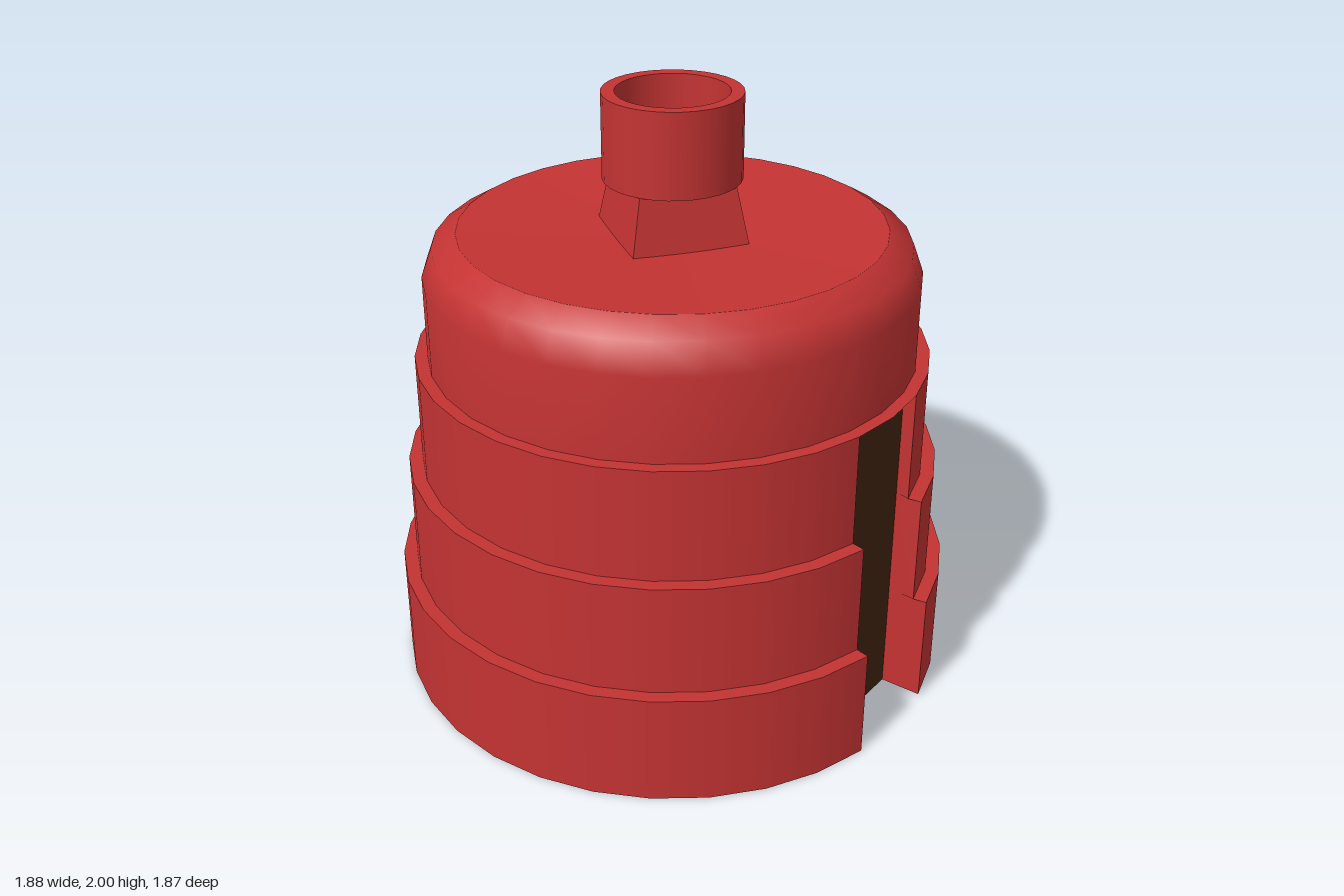
import * as THREE from 'three';

const SIDES = 32;
const STEP = (Math.PI * 2) / SIDES;

export function createModel() {
  const red = new THREE.MeshStandardMaterial({ color: 0xc43333, side: THREE.DoubleSide });
  red.name = 'red';
  const brown = new THREE.MeshStandardMaterial({ color: 0x42260f, side: THREE.DoubleSide });
  brown.name = 'darkBrown';

  const model = new THREE.Group();
  model.name = 'steppedTower';
  const body = new THREE.Group();
  body.name = 'body';
  body.position.z = 0.009;
  model.add(body);

  const add = (name, geometry, material = red) => {
    const mesh = new THREE.Mesh(geometry, material);
    mesh.name = name;
    body.add(mesh);
    return mesh;
  };

  // Revolved sheet; a doorway leaves out the two front segments
  const revolve = (name, profile, doorway = false) => {
    const points = profile.map(([r, y]) => new THREE.Vector2(r, y));
    const geometry = doorway
      ? new THREE.LatheGeometry(points, SIDES - 2, STEP, Math.PI * 2 - 2 * STEP)
      : new THREE.LatheGeometry(points, SIDES);
    return add(name, geometry);
  };

  // Stepped tiers with the doorway cut through them
  const doorZ = 0.785, doorHalf = 0.178, doorTop = 1.135;
  const tiers = [
    { r: 0.9425, y0: 0, y1: 0.38 },
    { r: 0.897, y0: 0.38, y1: 0.758 },
    { r: 0.852, y0: 0.758, y1: doorTop },
  ];
  const domeRadius = 0.81;
  tiers.forEach(({ r, y0, y1 }, i) => {
    const next = i < 2 ? tiers[i + 1].r : domeRadius;
    revolve('tierWall' + (i + 1), [[r, y0], [r, y1]], true);
    revolve('tierLedge' + (i + 1), [[r, y1], [next, y1]], i < 2);

    // Doorway cheeks run from the wall edge back to the door
    for (const side of [1, -1]) {
      const x = side * r * Math.sin(STEP), z = r * Math.cos(STEP);
      const xi = side * doorHalf;
      const cheek = new THREE.BufferGeometry();
      cheek.setAttribute('position', new THREE.Float32BufferAttribute(
        [x, y0, z, xi, y0, doorZ, xi, y1, doorZ, x, y1, z], 3));
      cheek.setIndex(side > 0 ? [0, 2, 1, 0, 3, 2] : [0, 1, 2, 0, 2, 3]);
      cheek.computeVertexNormals();
      add((side > 0 ? 'leftCheek' : 'rightCheek') + (i + 1), cheek);
    }
  });

  // Recessed dark door
  add('door', new THREE.PlaneGeometry(doorHalf * 2, doorTop), brown)
    .position.set(0, doorTop / 2, doorZ);

  // Rounded top tier and slightly dished roof
  revolve('dome', [[domeRadius, doorTop], [domeRadius, 1.415], [0.775, 1.51], [0.695, 1.558]]);
  revolve('roof', [[0.695, 1.558], [0, 1.525]]);

  // Chimney tube
  const outer = 0.225, inner = 0.182, neck = 1.72;
  revolve('chimneyWall', [[outer, neck], [outer, 2]]);
  revolve('chimneyRim', [[outer, 2], [inner, 2]]);
  revolve('chimneyBore', [[inner, 2], [inner, neck + 0.01]]);
  revolve('chimneyFloor', [[inner, neck + 0.01], [0, neck + 0.01]]);
  revolve('chimneyUnderside', [[0, neck], [outer, neck]]);

  // Flared square chimney foot
  const footBottom = 1.52;
  const foot = new THREE.CylinderGeometry(outer, 0.275, neck - footBottom, 4, 1, true, STEP).toNonIndexed();
  foot.computeVertexNormals();
  add('chimneyFoot', foot).position.y = (neck + footBottom) / 2;

  return model;
}
